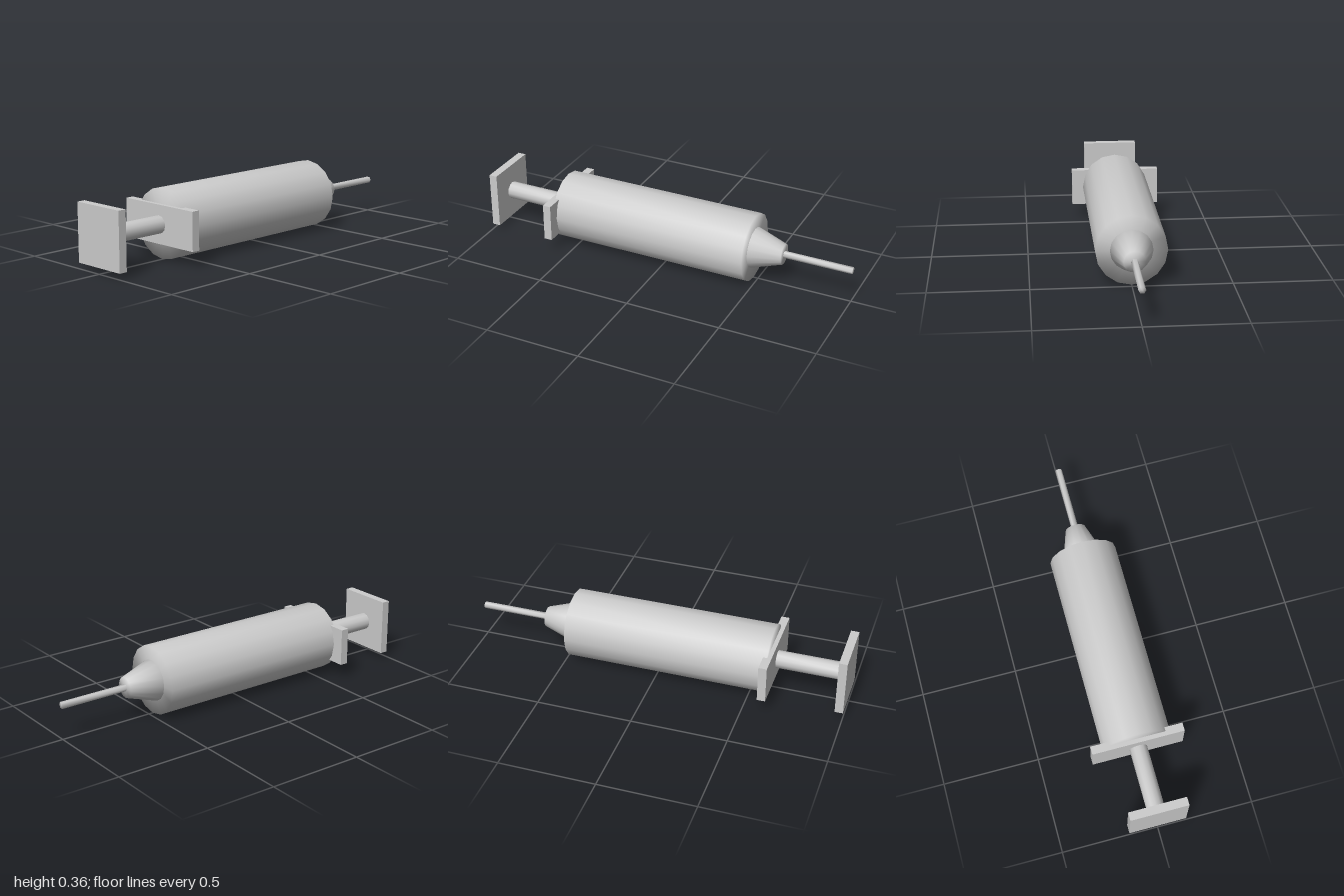
import * as THREE from 'three';
import { mergeVertices } from 'three/addons/utils/BufferGeometryUtils.js';

const AXIS_Y = 0.18;
const material = new THREE.MeshStandardMaterial({ color: 0xcccccc });

function addPart(group, name, geometry, x0, x1) {
  const mesh = new THREE.Mesh(geometry, material);
  mesh.name = name;
  mesh.position.set((x0 + x1) / 2, AXIS_Y, 0);
  group.add(mesh);
}

// Round part along x from x0 to x1, with soft shading carried over its rims
function addRound(group, name, x0, x1, r0, r1, sides) {
  const cylinder = new THREE.CylinderGeometry(r1, r0, x1 - x0, sides);
  cylinder.rotateZ(-Math.PI / 2);
  cylinder.deleteAttribute('normal');
  cylinder.deleteAttribute('uv');
  const geometry = mergeVertices(cylinder, 1e-4);
  geometry.computeVertexNormals();
  addPart(group, name, geometry, x0, x1);
}

// Upright rectangular plate across the axis
function addPlate(group, name, x0, x1, height, depth) {
  addPart(group, name, new THREE.BoxGeometry(x1 - x0, height, depth), x0, x1);
}

export function createModel() {
  const group = new THREE.Group();
  group.name = 'syringe';

  // Plunger
  addPlate(group, 'thumbPlate', -1, -0.957, 0.298, 0.298);
  addRound(group, 'plungerRod', -0.96, -0.59, 0.046, 0.046, 12);

  // Barrel with its finger flange
  addPlate(group, 'fingerFlange', -0.62, -0.577, 0.197, 0.478);
  addRound(group, 'barrel', -0.598, 0.476, 0.179, 0.179, 16);

  // Tapered tip and needle
  addRound(group, 'nozzle', 0.476, 0.637, 0.107, 0.054, 16);
  addRound(group, 'needle', 0.63, 1, 0.018, 0.018, 6);

  return group;
}
